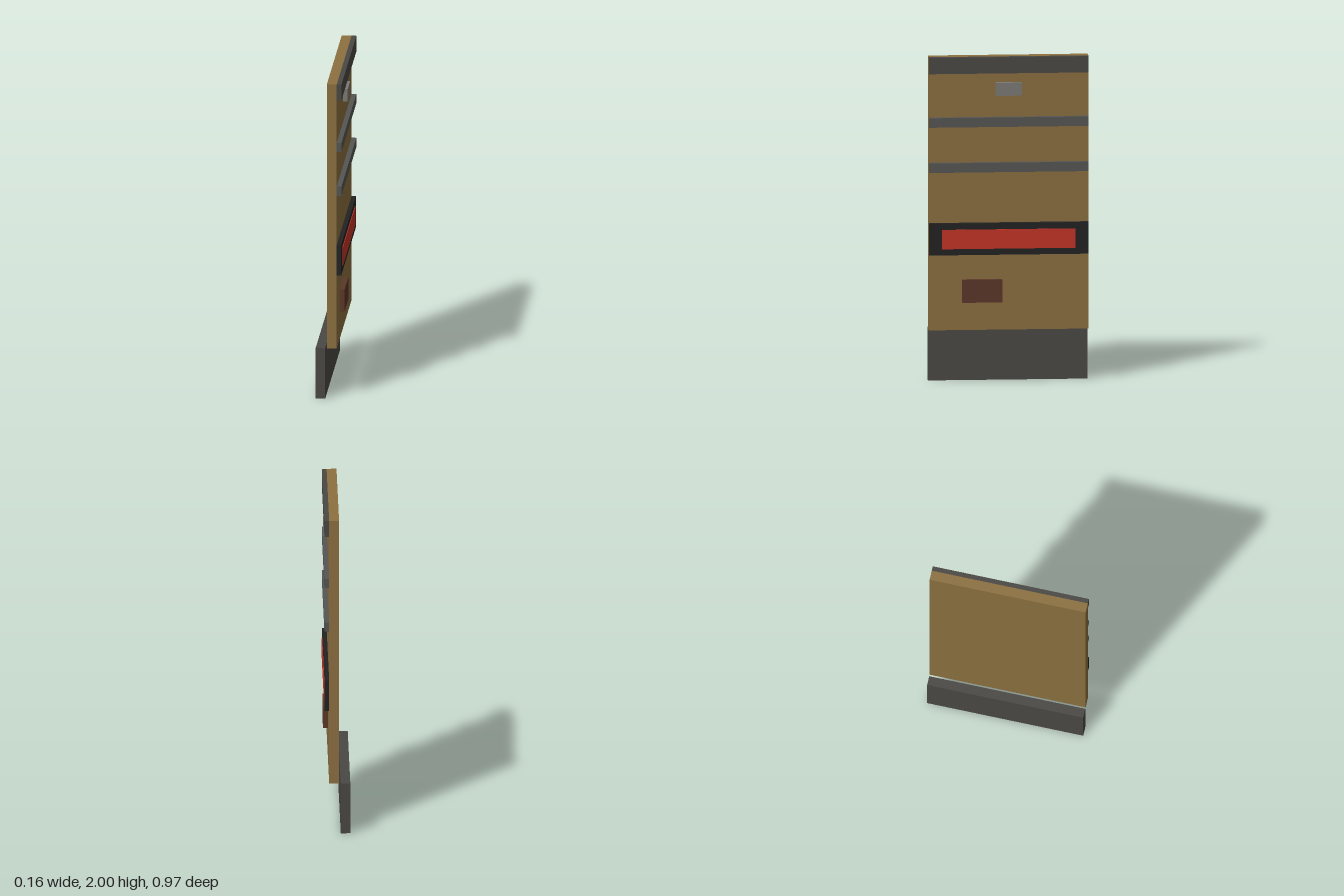
import * as THREE from 'three';

export function createModel() {
  const group = new THREE.Group();
  group.name = 'panelledDoor';

  // Box given by its [min, max] extents on each axis
  function slab(name, color, [x0, x1], [y0, y1], [z0, z1]) {
    const mesh = new THREE.Mesh(
      new THREE.BoxGeometry(x1 - x0, y1 - y0, z1 - z0),
      new THREE.MeshStandardMaterial({ color })
    );
    mesh.name = name;
    mesh.position.set((x0 + x1) / 2, (y0 + y1) / 2, (z0 + z1) / 2);
    group.add(mesh);
  }

  const full = [-0.484, 0.484];
  const raised = [0.048, 0.077];

  // Main board and the offset base board below it
  slab('board', 0x8c7040, [-0.012, 0.048], [0.32, 2], full);
  slab('baseBoard', 0x4a4844, [-0.08, -0.022], [0, 0.32], full);

  // Full-width rails
  slab('topRail', 0x4a4844, raised, [1.9, 2], full);
  [1.6, 1.322].forEach((y, i) =>
    slab(`rail${i + 1}`, 0x555653, raised, [y - 0.029, y + 0.029], full));

  // Red strip set on a black band
  slab('band', 0x222222, [0.048, 0.075], [0.785, 0.98], full);
  slab('redStrip', 0xc43426, [0.06, 0.079], [0.823, 0.942], [-0.405, 0.405]);

  // Small plates
  slab('upperPlate', 0x7c7a74, raised, [1.762, 1.842], [-0.078, 0.078]);
  slab('lowerPlate', 0x5c3728, raised, [0.492, 0.632], [0.04, 0.282]);

  return group;
}
